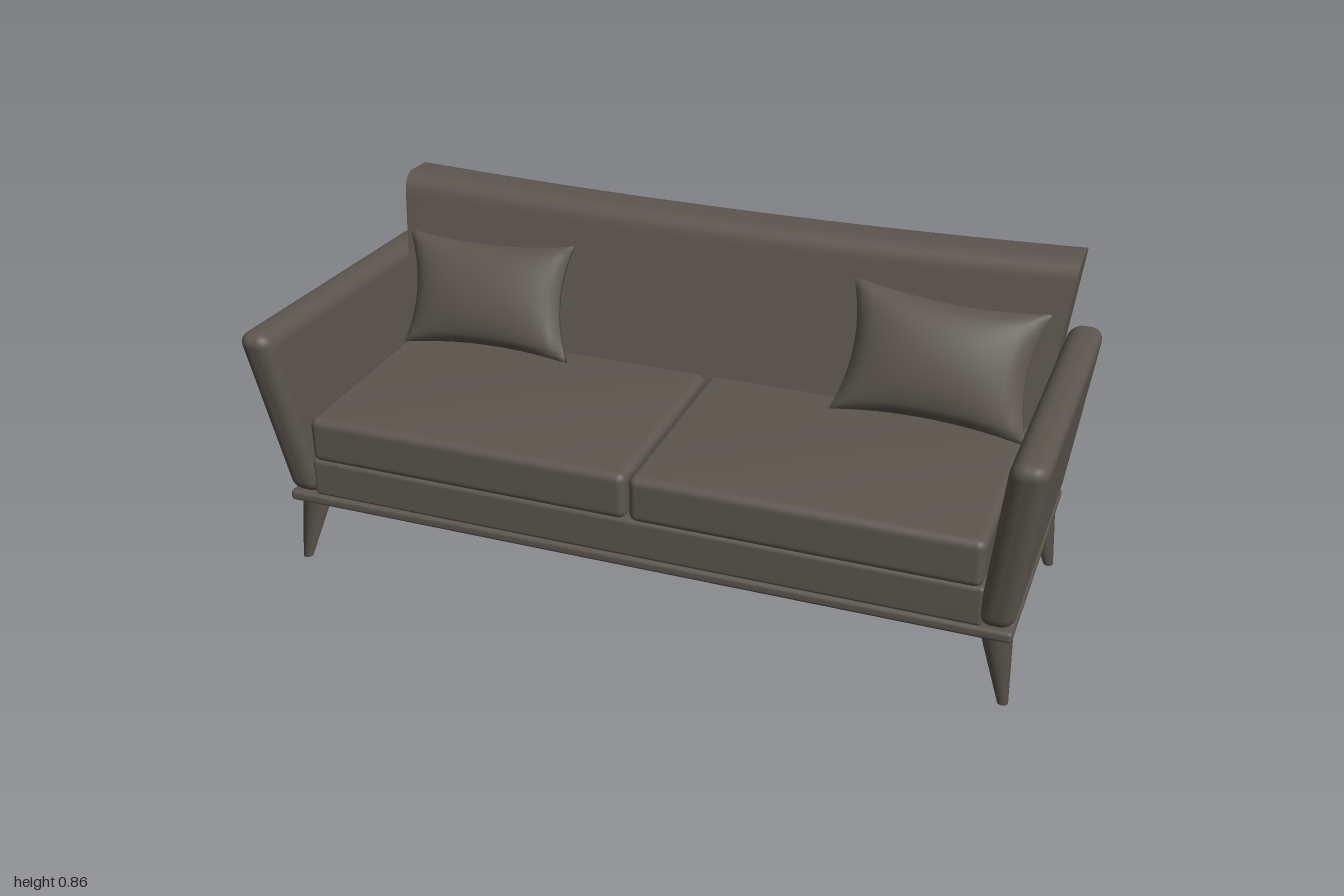
import * as THREE from 'three';
import { mergeVertices, toCreasedNormals } from 'three/addons/utils/BufferGeometryUtils.js';

const lerp = THREE.MathUtils.lerp;

// Merge shared corners so the surface shades smoothly
function smooth(geo) {
  geo.deleteAttribute('normal');
  geo.deleteAttribute('uv');
  const merged = mergeVertices(geo, 1e-5);
  merged.computeVertexNormals();
  return merged;
}

// Rounded block of nominal size, reshaped by map(u, v, w), each 0..1
function softBlock(size, r, map, inner = 6, k = 4) {
  const n = inner + 2 * k;
  const geo = new THREE.BoxGeometry(1, 1, 1, n, n, n);
  const pos = geo.attributes.position;
  const place = (t, s) => {
    const i = Math.round((t + 0.5) * n);
    const bend = (j) => r * (1 - Math.tan((1 - j / k) * Math.PI / 4));
    if (i <= k) return bend(i) - s / 2;
    if (i >= n - k) return s / 2 - bend(n - i);
    return lerp(r, s - r, (i - k) / inner) - s / 2;
  };
  const p = new THREE.Vector3(), core = new THREE.Vector3();
  const limit = new THREE.Vector3(...size).multiplyScalar(0.5).subScalar(r);
  for (let i = 0; i < pos.count; i++) {
    p.set(place(pos.getX(i), size[0]), place(pos.getY(i), size[1]), place(pos.getZ(i), size[2]));
    core.copy(p).clamp(limit.clone().negate(), limit);
    p.sub(core).setLength(r).add(core);
    pos.setXYZ(i, ...map(p.x / size[0] + 0.5, p.y / size[1] + 0.5, p.z / size[2] + 0.5));
  }
  return smooth(geo);
}

// Straight rounded block between two corners
function block(x0, x1, y0, y1, z0, z1, r) {
  return softBlock([x1 - x0, y1 - y0, z1 - z0], r,
    (u, v, w) => [lerp(x0, x1, u), lerp(y0, y1, v), lerp(z0, z1, w)], 2);
}

// Arm leaning outwards, wider front to back at the top
function armGeometry(side) {
  return softBlock([0.086, 0.46, 0.8], 0.034, (u, v, w) => {
    const a = side > 0 ? u : 1 - u;
    return [
      side * lerp(lerp(0.86, 0.912, v), lerp(0.945, 1, v), a),
      lerp(0.215, lerp(0.657, 0.695, w), v),
      lerp(lerp(-0.338, -0.425, v), lerp(0.375, 0.462, v), w),
    ];
  });
}

// Reclined back: side profile run along x, with a slight sag in the top edge
function backGeometry() {
  const s = new THREE.Shape();
  s.moveTo(0.338, 0.215);
  s.lineTo(0.456, 0.81);
  s.quadraticCurveTo(0.464, 0.853, 0.425, 0.853);
  s.lineTo(0.36, 0.856);
  s.quadraticCurveTo(0.315, 0.856, 0.304, 0.8);
  s.lineTo(0.15, 0.215);
  const geo = new THREE.ExtrudeGeometry(s, { depth: 1.86, steps: 24, bevelEnabled: false, curveSegments: 8 });
  geo.translate(0, 0, -0.93).rotateY(Math.PI / 2);
  const pos = geo.attributes.position;
  for (let i = 0; i < pos.count; i++) {
    const x = pos.getX(i), y = pos.getY(i), t = (y - 0.215) / 0.64;
    pos.setX(i, x * lerp(0.86, 0.93, t) / 0.93);
    pos.setY(i, y - 0.02 * t * t * (1 - (x / 0.93) ** 2));
  }
  return toCreasedNormals(geo, 0.7);
}

// Seat cushion with a gentle crown
function cushionGeometry(side) {
  return softBlock([0.865, 0.13, 0.6], 0.022, (u, v, w) => {
    const crown = 0.012 * Math.sin(Math.PI * u) * Math.sin(Math.PI * w);
    return [side * 0.4365 + (u - 0.5) * 0.865, lerp(0.318, 0.442, v) + crown * v, lerp(-0.225, 0.377, w)];
  }, 10);
}

// Throw pillow: pinched edges, bulging faces; corners run bl, br, tr, tl
function pillowGeometry([bl, br, tr, tl], zBottom, zTop, thick) {
  const geo = new THREE.BoxGeometry(2, 2, 2, 20, 20, 1);
  const pos = geo.attributes.position;
  for (let i = 0; i < pos.count; i++) {
    const u = pos.getX(i), v = pos.getY(i), f = pos.getZ(i);
    const a = (u * (1 - 0.13 * (1 - v * v)) + 1) / 2;
    const b = (v * (1 - 0.13 * (1 - u * u)) + 1) / 2;
    const puff = 0.005 + thick * Math.pow((1 - u * u) * (1 - v * v), 0.55);
    pos.setXYZ(i,
      lerp(lerp(bl[0], br[0], a), lerp(tl[0], tr[0], a), b),
      lerp(lerp(bl[1], br[1], a), lerp(tl[1], tr[1], a), b) + f * puff * 0.35,
      lerp(zBottom, zTop, b) + f * puff);
  }
  return smooth(geo);
}

// Tapered leg between a top and a foot point, with level ends
function legGeometry(sx, top, foot) {
  const h = 0.192;
  const geo = new THREE.CylinderGeometry(0.041, 0.013, h, 24);
  geo.translate(0, h / 2, 0);
  const pos = geo.attributes.position;
  for (let i = 0; i < pos.count; i++) {
    const t = pos.getY(i) / h;
    pos.setX(i, pos.getX(i) + sx * lerp(0.937, 0.9, t));
    pos.setZ(i, pos.getZ(i) + lerp(foot, top, t));
  }
  return geo;
}

export function createModel() {
  const group = new THREE.Group();
  const fabric = new THREE.MeshStandardMaterial({ color: 0x5c564e });
  fabric.name = 'warm grey';
  const add = (name, geo) => {
    const mesh = new THREE.Mesh(geo, fabric);
    mesh.name = name;
    group.add(mesh);
  };

  // Frame
  add('basePlate', block(-0.947, 0.947, 0.188, 0.217, -0.34, 0.377, 0.01));
  add('seatRail', block(-0.875, 0.875, 0.214, 0.32, -0.3, 0.37, 0.012));
  add('backrest', backGeometry());

  // Mirrored parts
  for (const side of [-1, 1]) {
    const label = side > 0 ? 'left' : 'right';
    add(label + 'Arm', armGeometry(side));
    add(label + 'SeatCushion', cushionGeometry(side));
    add(label + 'FrontLeg', legGeometry(side, 0.315, 0.342));
    add(label + 'BackLeg', legGeometry(side, -0.274, -0.302));
  }

  // Throw pillows
  add('rightPillow', pillowGeometry(
    [[-0.86, 0.44], [-0.37, 0.455], [-0.395, 0.738], [-0.89, 0.722]], -0.125, -0.258, 0.058));
  add('leftPillow', pillowGeometry(
    [[0.365, 0.455], [0.87, 0.44], [0.882, 0.735], [0.378, 0.765]], -0.115, -0.262, 0.062));

  return group;
}
